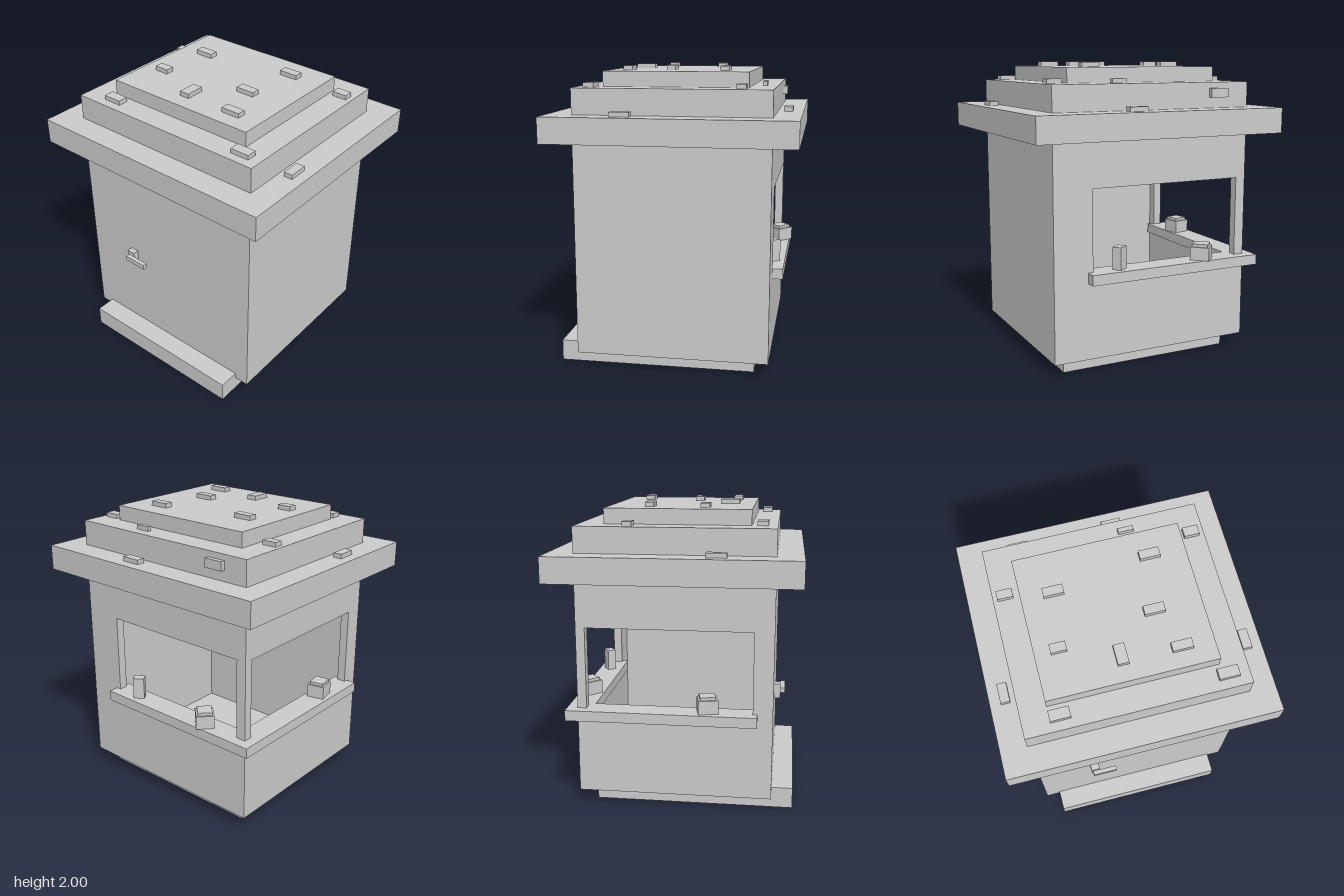
import * as THREE from 'three';

const grey = new THREE.MeshStandardMaterial({ color: 0xcccccc, flatShading: true, side: THREE.DoubleSide });

export function createModel() {
  const model = new THREE.Group();

  const add = (name, geometry, parent = model) => {
    const mesh = new THREE.Mesh(geometry, grey);
    mesh.name = name;
    parent.add(mesh);
    return mesh;
  };
  // Box given by its limits on each axis
  const block = (name, x0, x1, y0, y1, z0, z1, parent) => {
    const mesh = add(name, new THREE.BoxGeometry(x1 - x0, y1 - y0, z1 - z0), parent);
    mesh.position.set((x0 + x1) / 2, (y0 + y1) / 2, (z0 + z1) / 2);
    return mesh;
  };
  // Upright wall with a rectangular serving window
  const windowWall = (name, half, u0, u1) => {
    const rect = (Type, a, b, c, d) => new Type([[a, c], [b, c], [b, d], [a, d]].map(p => new THREE.Vector2(...p)));
    const shape = rect(THREE.Shape, -half, half, 0.1, 1.53);
    shape.holes.push(rect(THREE.Path, u0, u1, 0.68, 1.22));
    return add(name, new THREE.ExtrudeGeometry(shape, { depth: 0.06, bevelEnabled: false }));
  };

  // Hollow plinth and door step, open underneath
  const t = 0.01;
  block('plinthLeft', 0.54 - t, 0.54, 0, 0.1, -0.61, 0.61);
  for (const s of [-1, 1]) {
    const a = s * 0.61, b = s * (0.61 - t);
    block('plinthSide', -0.64, 0.54, 0, 0.1, Math.min(a, b), Math.max(a, b));
    block('stepEnd', -0.78, -0.64, 0, 0.14, Math.min(a, b), Math.max(a, b));
  }
  block('stepRiser', -0.78, -0.78 + t, 0, 0.14, -0.61, 0.61);
  block('stepTread', -0.78, -0.64, 0.14 - t, 0.14, -0.61, 0.61);

  // Cabin floor and walls
  block('floor', -0.64, 0.64, 0.1, 0.12, -0.71, 0.71);
  block('frontWall', -0.64, 0.64, 0.1, 1.53, 0.65, 0.71);
  block('doorWall', -0.64, -0.58, 0.1, 1.53, -0.71, 0.71);
  windowWall('backWindowWall', 0.64, -0.51, 0.58).position.z = -0.71;
  const side = windowWall('leftWindowWall', 0.71, -0.44, 0.64);
  side.rotation.y = Math.PI / 2;
  side.position.x = 0.58;

  // L-shaped counter through both windows
  block('sideCounter', 0.54, 0.71, 0.61, 0.68, -0.78, 0.475);
  block('backCounter', -0.54, 0.54, 0.61, 0.68, -0.78, -0.61);

  // Door handle
  block('handlePlate', -0.68, -0.64, 0.68, 0.78, -0.34, -0.28);
  block('handleBar', -0.71, -0.68, 0.715, 0.75, -0.33, -0.16);

  // Items on the counter
  const napkins = block('napkinHolder', 0.602, 0.662, 0.68, 0.83, 0.21, 0.286);
  napkins.rotation.y = 0.6;
  for (const [x, z, turn] of [[0.64, -0.37, 0.81], [-0.215, -0.685, 0.2]]) {
    const till = new THREE.Group();
    till.name = 'till';
    block('tillBody', -0.065, 0.065, 0, 0.09, -0.06, 0.06, till);
    block('tillLid', -0.052, 0.052, 0.09, 0.11, -0.048, 0.048, till);
    till.position.set(x, 0.68, z);
    till.rotation.y = turn;
    model.add(till);
  }

  // Ceiling lamp
  add('ceilingLamp', new THREE.CylinderGeometry(0.067, 0.067, 0.1, 16)).position.set(-0.14, 1.48, 0.55);

  // Stepped roof
  block('roofEave', -0.81, 0.81, 1.53, 1.7, -0.88, 0.88);
  block('roofMiddle', -0.64, 0.64, 1.7, 1.87, -0.71, 0.71);
  block('roofTop', -0.475, 0.475, 1.87, 1.97, -0.54, 0.54);

  // Loose shingles: x limits, z limits, on each roof tier
  const shingles = {
    1.97: [[-0.2, -0.14, -0.44, -0.34], [0.17, 0.23, -0.4, -0.27], [-0.37, -0.24, -0.07, 0],
      [-0.1, -0.04, 0.17, 0.3], [-0.37, -0.31, 0.27, 0.4], [0.27, 0.33, 0.24, 0.37]],
    1.87: [[-0.58, -0.51, -0.54, -0.41], [0.27, 0.33, -0.68, -0.58], [0.54, 0.57, 0.17, 0.27],
      [-0.58, -0.51, 0.51, 0.64], [0.405, 0.47, 0.575, 0.675]],
    1.7: [[-0.34, -0.21, -0.81, -0.75], [0.68, 0.74, 0.1, 0.23], [-0.37, -0.24, 0.75, 0.81]],
  };
  for (const [y, list] of Object.entries(shingles))
    for (const [x0, x1, z0, z1] of list) block('shingle', x0, x1, +y, +y + 0.03, z0, z1);
  block('sideShingle', 0.64, 0.67, 1.77, 1.83, -0.54, -0.41);

  return model;
}
